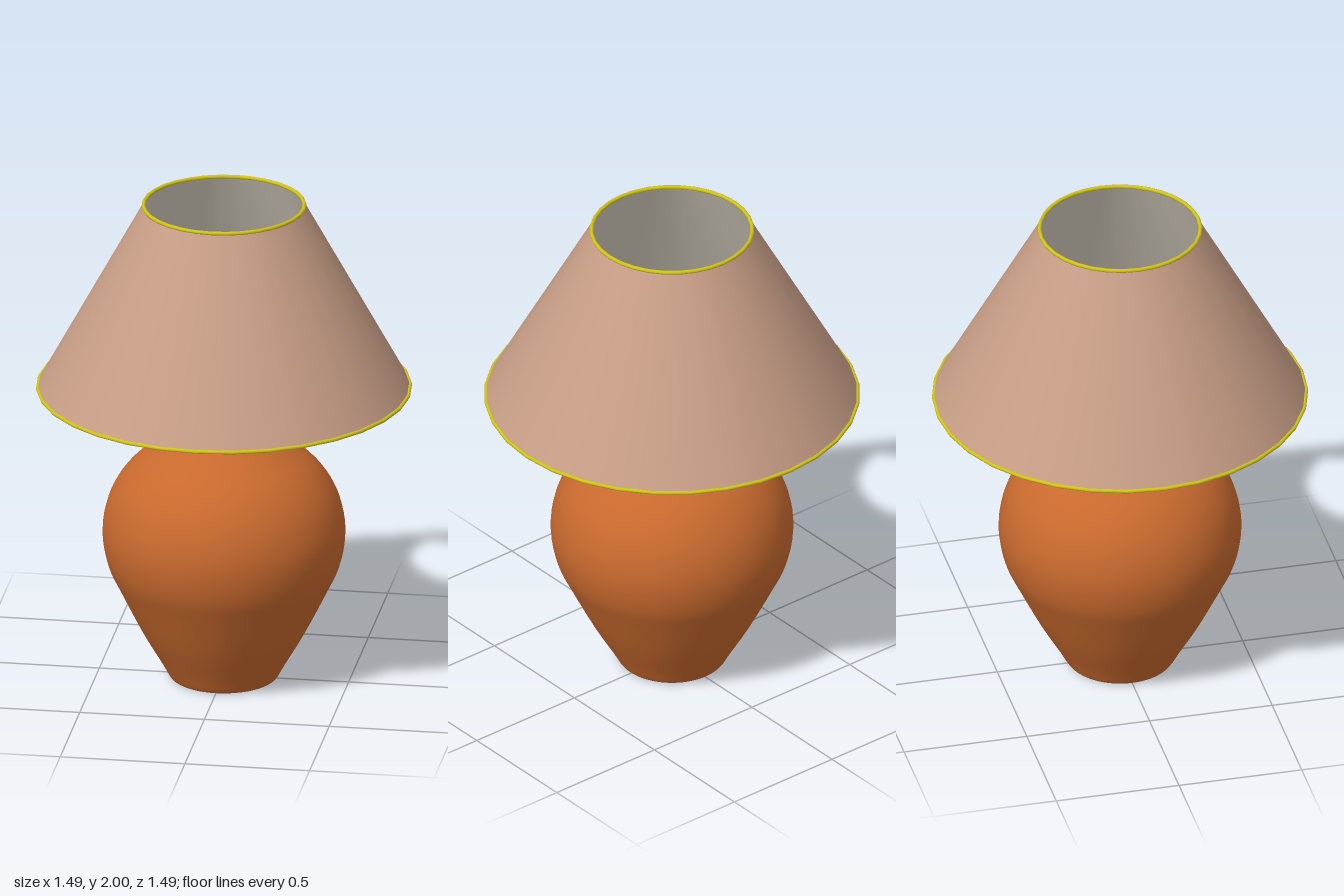
import * as THREE from 'three';

const v = ([r, y]) => new THREE.Vector2(r, y);

export function createModel() {
  const lamp = new THREE.Group();
  lamp.name = 'tableLamp';

  const mat = (name, color, side = THREE.FrontSide) => {
    const m = new THREE.MeshStandardMaterial({ color, side });
    m.name = name;
    return m;
  };
  const clay = mat('terracotta', 0xc8692e);
  const fabric = mat('shadeFabric', 0xc89e86);
  const lining = mat('creamLining', 0xd8d0c0);
  const trim = mat('yellowTrim', 0xd0c418);
  const black = mat('blackSocket', 0x222426);

  const add = (name, geometry, material, parent = lamp) => {
    const mesh = new THREE.Mesh(geometry, material);
    mesh.name = name;
    parent.add(mesh);
    return mesh;
  };
  // Turned part; a smooth profile is resampled through a spline
  const turned = (points, segments, samples = 0) => {
    let pts = points.map(v);
    if (samples) pts = new THREE.SplineCurve(pts).getPoints(samples);
    pts.forEach(p => { p.x = Math.max(p.x, 0); });
    return new THREE.LatheGeometry(pts, segments);
  };

  // Vase: foot, belly, flared lip and open funnel neck
  const vase = new THREE.Group();
  vase.name = 'vase';
  lamp.add(vase);
  add('vaseFoot', turned([[0, 0], [0.205, 0]], 64), clay, vase);
  add('vaseBody', turned([
    [0.205, 0], [0.218, 0.012], [0.25, 0.07], [0.325, 0.2], [0.41, 0.37], [0.46, 0.48],
    [0.481, 0.6], [0.469, 0.71], [0.43, 0.81], [0.36, 0.9], [0.265, 0.97],
    [0.195, 1.015], [0.168, 1.05], [0.18, 1.08], [0.207, 1.1], [0.217, 1.115],
  ], 64, 60), clay, vase);
  add('vaseLipEdge', turned([[0.217, 1.115], [0.217, 1.135], [0.212, 1.14]], 64), clay, vase);
  add('vaseNeckInside', turned([
    [0.212, 1.14], [0.19, 1.132], [0.165, 1.105], [0.148, 1.07], [0.144, 1.04],
  ], 64, 14), clay, vase);
  add('vaseNeckFloor', turned([[0.144, 1.04], [0, 1.04]], 64), clay, vase);

  // Bulb holder
  add('socket', turned([
    [0.04, 1.04], [0.04, 1.14], [0.055, 1.155], [0.065, 1.18], [0.07, 1.21],
  ], 24), black);
  add('socketCollar', turned([[0.07, 1.21], [0.088, 1.222], [0.088, 1.245]], 24), black);
  add('socketTop', turned([[0.088, 1.245], [0, 1.25]], 24), black);

  // Light bulb
  add('bulb', new THREE.SphereGeometry(0.126, 12, 12).translate(0, 1.37, 0), lining);

  // Conical shade with lining and trimmed rims
  const shade = new THREE.Group();
  shade.name = 'lampshade';
  lamp.add(shade);
  const low = [0.738, 1.224], high = [0.319, 1.992];
  add('shadeOuter', turned([low, high], 32), fabric, shade);
  add('shadeLining', turned(
    [[high[0] - 0.004, high[1]], [low[0] - 0.004, low[1]]], 32), lining, shade);
  [['lowerTrim', low], ['upperTrim', high]].forEach(([name, [r, y]]) => {
    const ring = new THREE.TorusGeometry(r, 0.008, 8, 32);
    add(name, ring.rotateX(Math.PI / 2).translate(0, y, 0), trim, shade);
  });

  return lamp;
}
